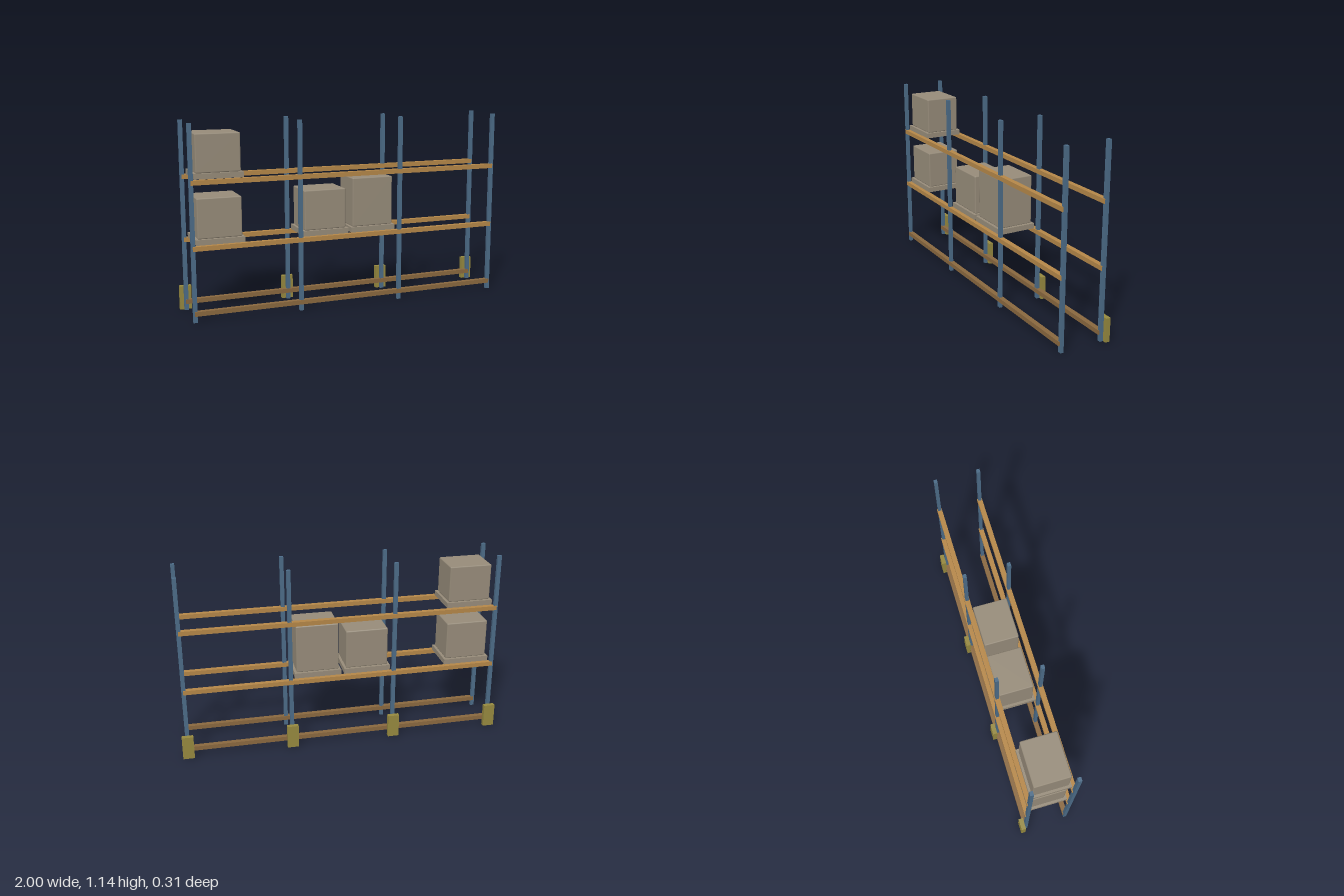
import * as THREE from 'three';
import { RoundedBoxGeometry } from 'three/addons/geometries/RoundedBoxGeometry.js';

export function createModel() {
  const rack = new THREE.Group();
  rack.name = 'palletRack';

  const material = (name, color) => {
    const m = new THREE.MeshStandardMaterial({ color });
    m.name = name;
    return m;
  };
  const blue = material('blue steel', 0x4c6c88);
  const orange = material('orange beam', 0xb58748);
  const brown = material('brown beam', 0x8a683f);
  const olive = material('olive guard', 0x96893f);
  const taupe = material('taupe cargo', 0x978c7a);

  // Adds a box given its extents along each axis
  const addBox = (name, mat, [x0, x1], [y0, y1], [z0, z1], bevel = 0) => {
    const size = [x1 - x0, y1 - y0, z1 - z0];
    const geometry = bevel
      ? new RoundedBoxGeometry(...size, 1, bevel)
      : new THREE.BoxGeometry(...size);
    const mesh = new THREE.Mesh(geometry, mat);
    mesh.position.set((x0 + x1) / 2, (y0 + y1) / 2, (z0 + z1) / 2);
    mesh.name = name;
    rack.add(mesh);
  };

  const frontZ = 0.142, backZ = -0.12;

  // Uprights, with a guard plate behind each rear one
  for (const x of [-0.965, -0.322, 0.322, 0.965]) {
    for (const z of [frontZ, backZ]) {
      addBox('upright', blue, [x - 0.012, x + 0.012], [0, 1.145], [z - 0.01, z + 0.01]);
    }
    addBox('guardPlate', olive, [x - 0.035, x + 0.035], [0, 0.145], [-0.158, -0.13]);
  }

  // Long horizontal beams at three levels
  for (const [y, mat] of [[0.052, brown], [0.434, orange], [0.812, orange]]) {
    for (const z of [frontZ, backZ]) {
      addBox('beam', mat, [-0.968, 0.968], [y - 0.0135, y + 0.0135], [z - 0.015, z + 0.015]);
    }
  }

  // Pallets with crates: centre x, shelf height, crate top
  const loads = [
    [-0.8, 0.827, 1.083],
    [-0.8, 0.448, 0.716],
    [-0.157, 0.448, 0.722],
    [0.151, 0.448, 0.78],
  ];
  for (const [x, shelf, top] of loads) {
    addBox('pallet', taupe, [x - 0.144, x + 0.144], [shelf, shelf + 0.032], [-0.109, 0.132]);
    addBox('crate', taupe, [x - 0.131, x + 0.131], [shelf + 0.032, top], [-0.096, 0.118], 0.007);
  }

  return rack;
}
